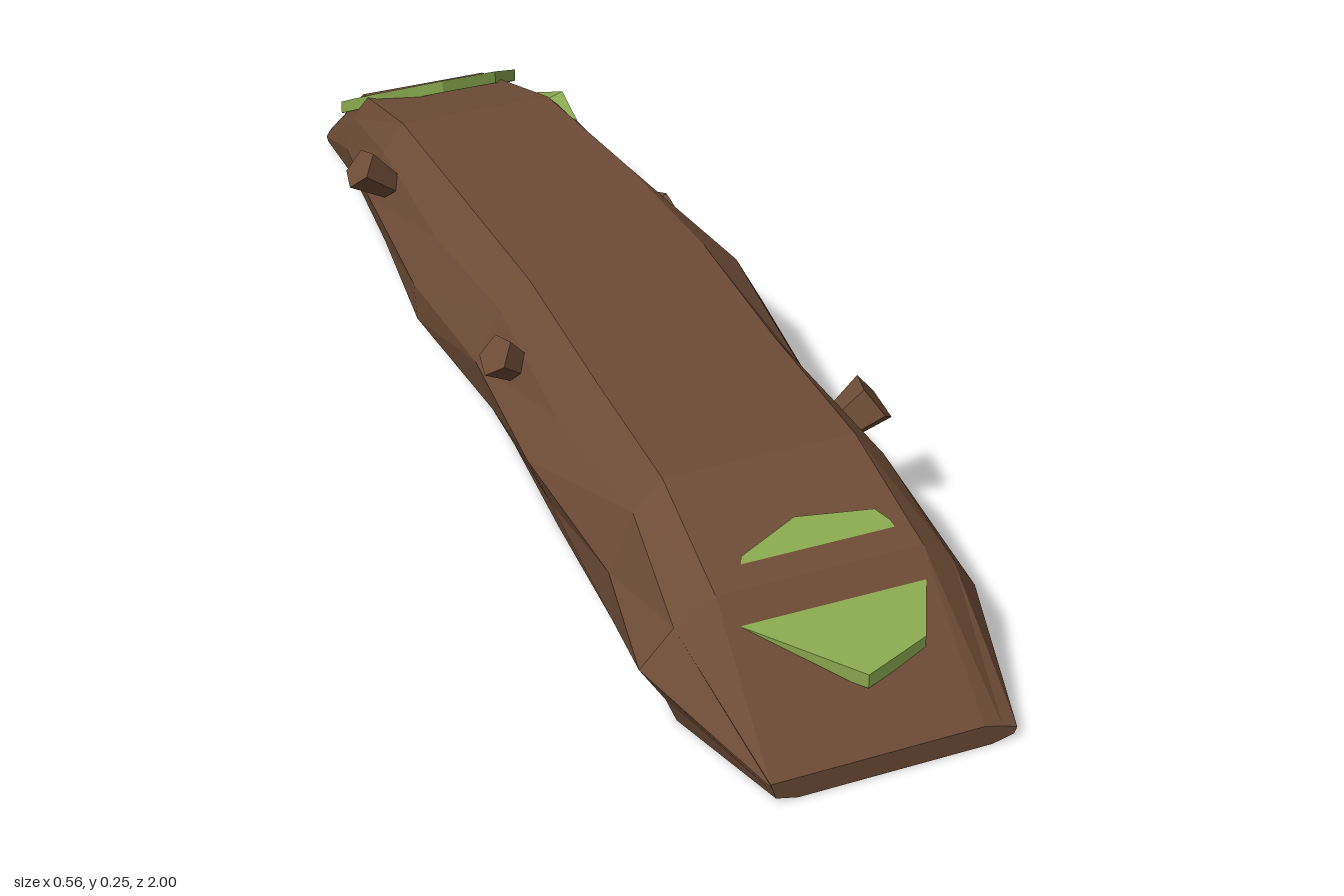
import * as THREE from 'three';

const bark = new THREE.MeshStandardMaterial({ color: 0x6e4c36 });
bark.name = 'bark brown';
const moss = new THREE.MeshStandardMaterial({ color: 0x8cab50 });
moss.name = 'moss green';

// Stations along the log: z, left width, right width, left top edge, right top edge,
// heights of the low, widest, upper and top edges, and how far the low edge tucks in
const stations = [
  [1.00, 0.18, 0.18, 0.185, 0.13, 0.008, 0.018, 0.026, 0.033, 0.98],
  [0.79, 0.28, 0.225, 0.17, 0.14, 0.04, 0.10, 0.155, 0.19, 0.86],
  [0.58, 0.235, 0.225, 0.155, 0.14, 0.03, 0.11, 0.20, 0.245, 0.98],
  [0.30, 0.245, 0.225, 0.14, 0.15, 0.045, 0.13, 0.19, 0.245, 0.85],
  [0.00, 0.21, 0.275, 0.12, 0.17, 0.03, 0.12, 0.205, 0.245, 0.88],
  [-0.28, 0.21, 0.24, 0.12, 0.165, 0.045, 0.11, 0.185, 0.245, 0.98],
  [-0.57, 0.185, 0.22, 0.12, 0.14, 0.03, 0.12, 0.20, 0.245, 0.86],
  [-0.79, 0.15, 0.155, 0.115, 0.105, 0.04, 0.10, 0.155, 0.198, 0.92],
  [-1.00, 0.12, 0.09, 0.11, 0.085, 0.008, 0.018, 0.026, 0.033, 0.98],
];

// One cross-section, from bottom left over the top to bottom right
function ring([z, wl, wr, tl, tr, low, mid, up, top, tuck]) {
  const side = (w, t, s) => [
    [s * w * 0.8, 0, z],
    [s * w * tuck, low, z],
    [s * w, mid, z],
    [s * (w * 0.55 + t * 0.45), up, z],
    [s * t, top, z],
  ];
  return [...side(wl, tl, -1), ...side(wr, tr, 1).reverse()];
}

function logGeometry() {
  const rings = stations.map(ring);
  const n = rings[0].length;
  const pos = [];
  const tri = (a, b, c) => pos.push(...a, ...b, ...c);
  for (let i = 0; i < rings.length - 1; i++) {
    for (let j = 0; j < n; j++) {
      const k = (j + 1) % n;
      const a = rings[i][j], b = rings[i][k], c = rings[i + 1][j], d = rings[i + 1][k];
      tri(a, b, c);
      tri(b, d, c);
    }
  }
  // End faces
  const first = rings[0], last = rings[rings.length - 1];
  for (let k = 1; k < n - 1; k++) {
    tri(first[0], first[k + 1], first[k]);
    tri(last[0], last[k], last[k + 1]);
  }
  const g = new THREE.BufferGeometry();
  g.setAttribute('position', new THREE.Float32BufferAttribute(pos, 3));
  g.computeVertexNormals();
  return g;
}

// Flat slab with an outline in x and z, sheared to lie on a slope
function mossGeometry(outline, z0, y0, slope) {
  const depth = 0.022;
  const shape = new THREE.Shape(outline.map(([x, z]) => new THREE.Vector2(x, -z)));
  const g = new THREE.ExtrudeGeometry(shape, { depth, bevelEnabled: false });
  g.rotateX(-Math.PI / 2);
  const p = g.attributes.position;
  for (let i = 0; i < p.count; i++) {
    p.setY(i, p.getY(i) - depth + y0 + slope * (p.getZ(i) - z0));
  }
  g.computeVertexNormals();
  return g;
}

export function createModel() {
  const model = new THREE.Group();
  model.name = 'mossyLog';
  const add = (name, geometry, material) => {
    const mesh = new THREE.Mesh(geometry, material);
    mesh.name = name;
    model.add(mesh);
    return mesh;
  };

  add('logBody', logGeometry(), bark);

  // Moss slabs on the sloping ends; the log's ridge breaks through them
  add('frontMoss', mossGeometry([
    [-0.15, 0.83], [-0.01, 0.93], [0.09, 0.9], [0.125, 0.83],
    [0.115, 0.74], [0.1, 0.72], [-0.015, 0.705], [-0.11, 0.74],
  ], 0.83, 0.1605, -0.5), moss);
  add('backMoss', mossGeometry([
    [-0.14, -0.84], [-0.135, -0.8], [-0.105, -0.745], [-0.005, -0.69],
    [0.095, -0.70], [0.17, -0.8], [0.115, -0.915], [-0.035, -0.935],
  ], -0.79, 0.193, 0.55), moss);

  // Small moss tuft on the shoulder
  const tuft = new THREE.OctahedronGeometry(1);
  tuft.scale(0.035, 0.028, 0.065);
  const tuftMesh = add('mossTuft', tuft, moss);
  tuftMesh.position.set(0.163, 0.213, -0.59);
  tuftMesh.rotation.set(0, 0.2, -0.5);

  // Broken branch stubs: position, outward direction, size
  const stubs = [
    [[0.205, 0.185, 0.45], [0.75, 0.6, 0.15], 0.042],
    [[0.205, 0.15, -0.27], [0.9, 0.3, -0.1], 0.034],
    [[-0.195, 0.195, -0.5], [-0.75, 0.6, 0], 0.036],
    [[-0.2, 0.185, 0.12], [-0.75, 0.6, 0.1], 0.034],
  ];
  const up = new THREE.Vector3(0, 1, 0);
  for (const [at, dir, r] of stubs) {
    const g = new THREE.CylinderGeometry(r, r * 0.65, r * 1.9, 5).toNonIndexed();
    g.computeVertexNormals();
    const stub = add('branchStub', g, bark);
    stub.position.set(...at);
    stub.quaternion.setFromUnitVectors(up, new THREE.Vector3(...dir).normalize());
  }

  return model;
}
